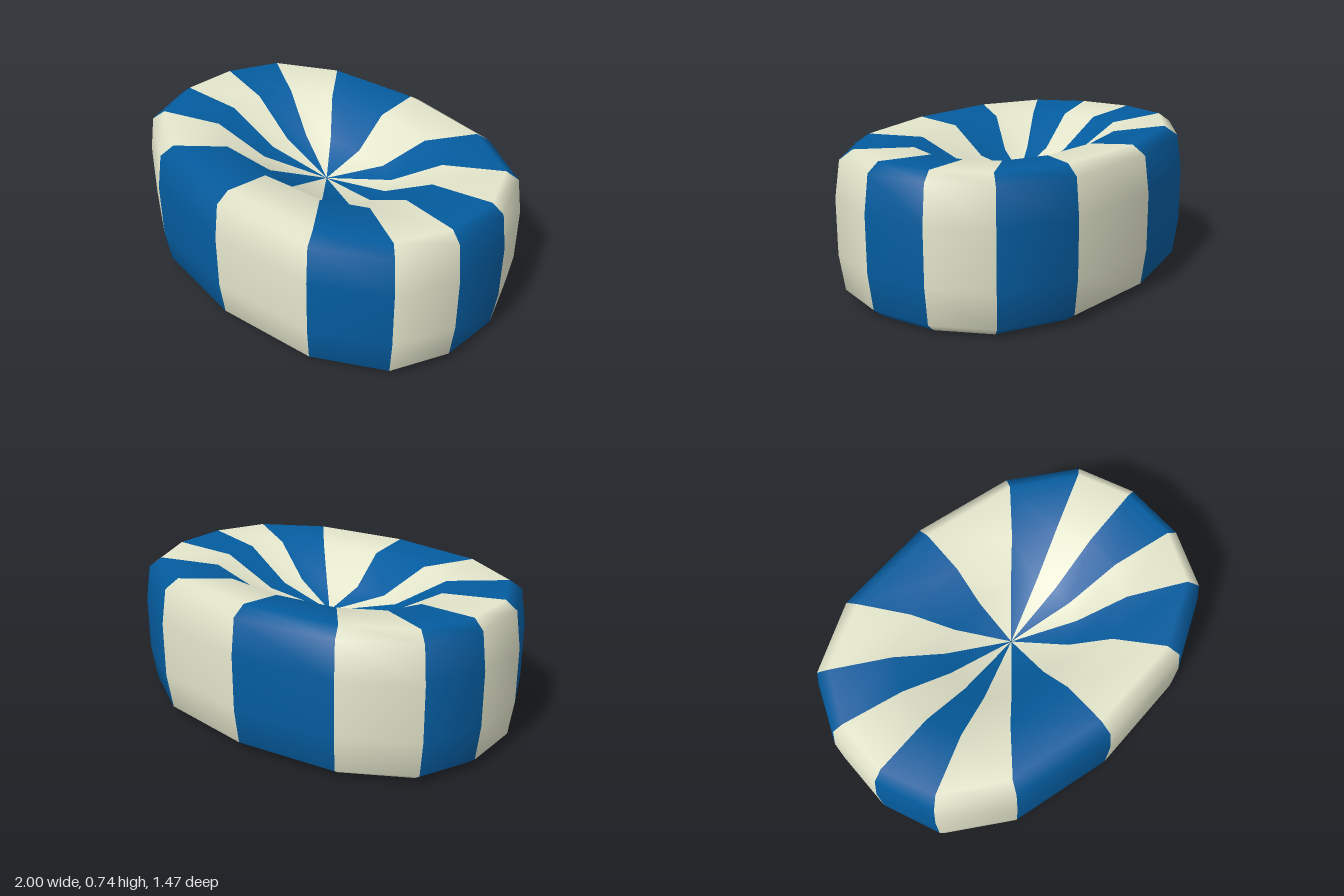
import * as THREE from 'three';

const SIDES = 14;
const MID_Y = 0.37;

// Half profile from the sunken centre out to the side: [x scale, z scale, height above the middle]
const PROFILE = [
  [0.004, 0.004, 0.14],
  [0.35, 0.33, 0.2],
  [0.61, 0.56, 0.345],
  [0.92, 0.873, 0.368],
  [0.975, 0.966, 0.322],
  [1, 1, 0.14],
];

// Slightly boxy oval plan
function planPoint(k) {
  const t = (k / SIDES) * Math.PI * 2;
  const x = (Math.sin(t) + 0.065 * Math.sin(3 * t)) / 0.924;
  return [x, Math.cos(t) * 0.734];
}

function cushionGeometry() {
  // Full profile: the top half, then its mirror below
  const rows = [...PROFILE, ...PROFILE.map(([sx, sz, h]) => [sx, sz, -h]).reverse()];
  const positions = [];
  for (const [sx, sz, h] of rows) {
    for (let k = 0; k < SIDES; k++) {
      const [x, z] = planPoint(k);
      positions.push(x * sx, MID_Y + h, z * sz);
    }
  }

  // One group of faces per gore, alternating between the two materials
  const index = [];
  const geometry = new THREE.BufferGeometry();
  for (let k = 0; k < SIDES; k++) {
    const start = index.length;
    const next = (k + 1) % SIDES;
    for (let r = 0; r < rows.length - 1; r++) {
      const a = r * SIDES + k;
      const b = (r + 1) * SIDES + k;
      const c = (r + 1) * SIDES + next;
      const d = r * SIDES + next;
      index.push(a, b, c, a, c, d);
    }
    geometry.addGroup(start, index.length - start, k % 2);
  }
  geometry.setAttribute('position', new THREE.Float32BufferAttribute(positions, 3));
  geometry.setIndex(index);
  geometry.computeVertexNormals();
  return geometry;
}

export function createModel() {
  const cream = new THREE.MeshStandardMaterial({ color: 0xe3e5cb });
  cream.name = 'cream fabric';
  const blue = new THREE.MeshStandardMaterial({ color: 0x045c9f });
  blue.name = 'blue fabric';

  const group = new THREE.Group();
  group.name = 'stripedCushion';
  const cushion = new THREE.Mesh(cushionGeometry(), [cream, blue]);
  cushion.name = 'cushion';
  group.add(cushion);
  return group;
}
